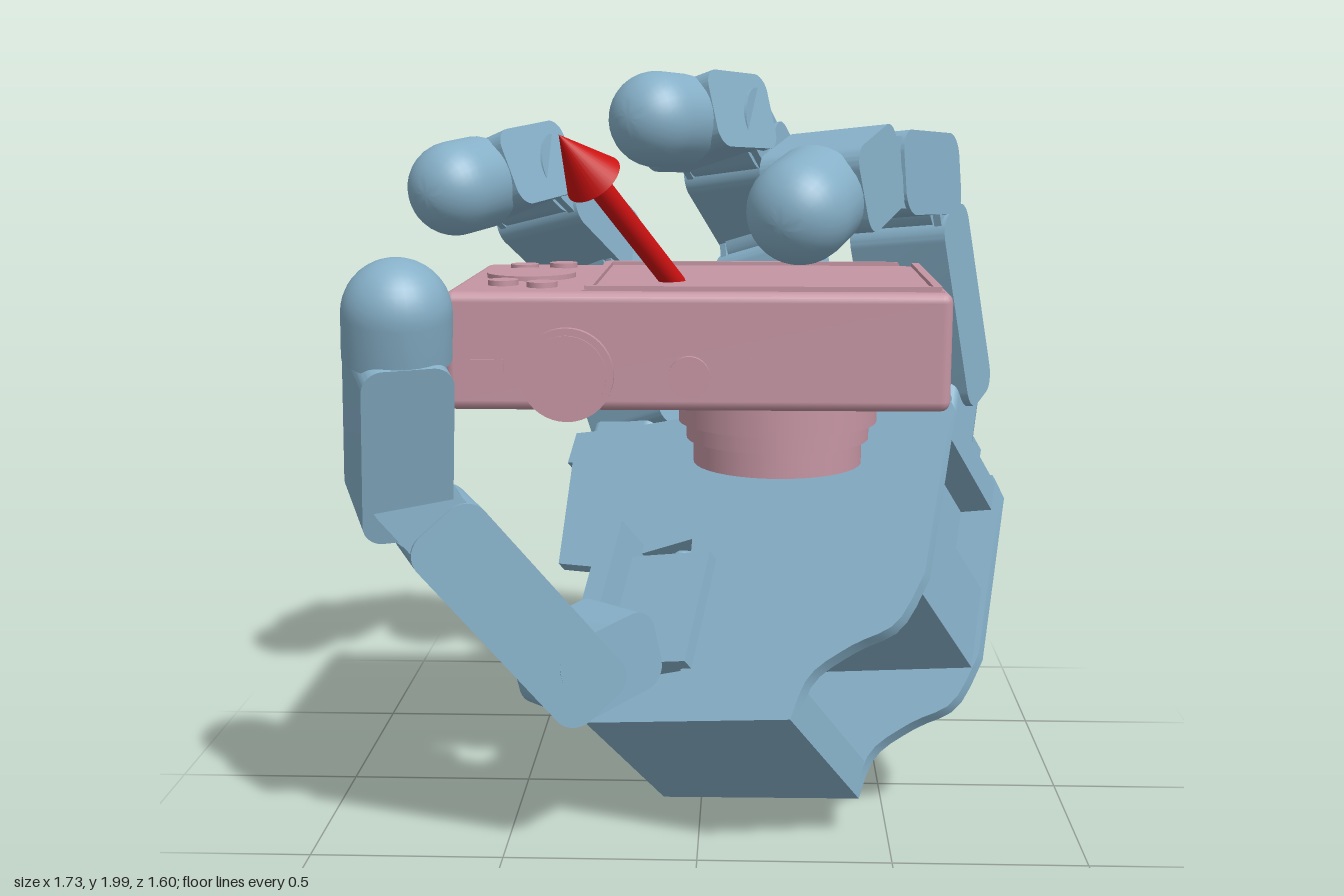
import * as THREE from 'three';
import { RoundedBoxGeometry } from 'three/addons/geometries/RoundedBoxGeometry.js';
import { toCreasedNormals } from 'three/addons/utils/BufferGeometryUtils.js';

const V = (x, y, z) => new THREE.Vector3(x, y, z);
const blue = new THREE.MeshStandardMaterial({ color: 0x86b0c8 });
const pink = new THREE.MeshStandardMaterial({ color: 0xc595a3 });
const red = new THREE.MeshStandardMaterial({ color: 0xcc1111 });

function add(parent, name, geometry, material, x = 0, y = 0, z = 0) {
  const mesh = new THREE.Mesh(geometry, material);
  mesh.name = name;
  mesh.position.set(x, y, z);
  parent.add(mesh);
  return mesh;
}

// box given by its low and high corners
function span(parent, name, lo, hi, material, radius = 0) {
  const s = hi.map((h, i) => h - lo[i]);
  const geo = radius ? new RoundedBoxGeometry(...s, 2, radius) : new THREE.BoxGeometry(...s);
  return add(parent, name, geo, material, ...hi.map((h, i) => (h + lo[i]) / 2));
}

// group with its own x, y axes and origin
function frame(parent, name, origin, xAxis, yAxis) {
  const y = yAxis.clone().normalize();
  const x = xAxis.clone().addScaledVector(y, -xAxis.dot(y)).normalize();
  const g = new THREE.Group();
  g.name = name;
  g.applyMatrix4(new THREE.Matrix4().makeBasis(x, y, x.clone().cross(y)).setPosition(origin));
  parent.add(g);
  return g;
}

// rounded side profile (length along y, thickness along z) extruded along the hinge x
function linkGeometry(width, thick, y0, y1, r) {
  const h = thick / 2, s = new THREE.Shape();
  s.absarc(h - r, y0 + r, r, -Math.PI / 2, 0);
  s.absarc(h - r, y1 - r, r, 0, Math.PI / 2);
  s.absarc(-h + r, y1 - r, r, Math.PI / 2, Math.PI);
  s.absarc(-h + r, y0 + r, r, Math.PI, Math.PI * 1.5);
  const g = new THREE.ExtrudeGeometry(s, { depth: width, bevelEnabled: false, curveSegments: 7 });
  g.translate(0, 0, -width / 2).rotateY(Math.PI / 2);
  return toCreasedNormals(g, 0.5);
}

// one digit segment with a tongue into the next joint
function segment(parent, name, p, q, hinge) {
  const dir = q.clone().sub(p), L = dir.length();
  const g = frame(parent, name, p, hinge, dir);
  add(g, 'linkBody', linkGeometry(0.27, 0.215, -0.09, L - 0.1, 0.06), blue);
  add(g, 'linkTongue', linkGeometry(0.2, 0.19, L - 0.16, L + 0.085, 0.085), blue);
  for (const s of [-1, 1])
    add(g, 'jointCheek', linkGeometry(0.02, 0.18, L - 0.24, L + 0.075, 0.08), blue, s * 0.115);
  return g;
}

// last segment with a domed fingertip
function fingertip(parent, p, q, hinge) {
  const dir = q.clone().sub(p), L = dir.length();
  const g = frame(parent, 'fingertipLink', p, hinge, dir);
  add(g, 'linkBody', linkGeometry(0.26, 0.215, -0.09, L - 0.09, 0.05), blue);
  const pts = [new THREE.Vector2(0, L - 0.11), new THREE.Vector2(0.128, L - 0.11)];
  for (let i = 0; i <= 10; i++) {
    const t = (i / 10) * Math.PI / 2;
    pts.push(new THREE.Vector2(i === 10 ? 0 : 0.128 * Math.cos(t), L + 0.128 * Math.sin(t)));
  }
  add(g, 'fingertip', toCreasedNormals(new THREE.LatheGeometry(pts, 32), 0.6), blue);
}

// a finger hinges at right angles to the plane it curls in
function finger(parent, name, points) {
  const g = new THREE.Group();
  g.name = name;
  parent.add(g);
  const [a, b, c, d] = points;
  const hinge = b.clone().sub(a).cross(d.clone().sub(c));
  segment(g, 'lowerLink', a, b, hinge);
  segment(g, 'middleLink', b, c, hinge);
  fingertip(g, c, d, hinge);
}

// thumb with a short link from the palm bracket and a motor on the long link
function buildThumb(hand) {
  const g = new THREE.Group();
  g.name = 'thumb';
  hand.add(g);
  const root = V(-0.22, 0.53, 0.34), knuckle = V(-0.33, 0.5, 0.44);
  const joint = V(-0.72, 1.01, 0.57), tip = V(-0.685, 1.437, 0.67);
  const hinge = V(0.38, 0, 0.92);
  const dir = knuckle.clone().sub(root);
  const base = frame(g, 'thumbBase', root, hinge, dir);
  add(base, 'thumbBaseLink', linkGeometry(0.22, 0.21, -0.06, dir.length() + 0.09, 0.06), blue);
  const link = segment(g, 'thumbLink', knuckle, joint, hinge);
  span(link, 'thumbLinkMotor', [-0.24, 0.12, -0.09], [-0.1, 0.4, 0.09], blue, 0.02);
  fingertip(g, joint, tip, hinge);
}

function plate(outline, depth) {
  const s = new THREE.Shape(outline.map(([x, y]) => new THREE.Vector2(x, y)));
  return toCreasedNormals(new THREE.ExtrudeGeometry(s, { depth, bevelEnabled: false }), 0.6);
}

// palm frame: x across, y towards the fingers, z out of the inner face
function buildPalm(hand) {
  const palm = frame(hand, 'palm', V(-0.105, 0.005, 0.11), V(0.893, 0.187, 0.408), V(0.179, 0.689, -0.702));
  const curve = new THREE.SplineCurve([[0.59, 0], [0.62, 0.12], [0.72, 0.2], [0.83, 0.26], [0.885, 0.4]]
    .map(([x, y]) => new THREE.Vector2(x, y))).getPoints(14).map(p => [p.x, p.y]);
  const outline = [[0, 0], ...curve, [0.89, 0.92], [0.86, 0.98], [0.3, 0.99], [-0.3, 0.95],
    [-0.23, 0.5], [-0.1, 0.48], [0.19, 0.55], [0.25, 0.144], [-0.015, 0.106]];
  add(palm, 'backPlate', plate(outline, 0.035), blue);
  add(palm, 'innerPlate', plate(outline, 0.035), blue, 0, 0, 0.425);
  add(palm, 'wristBlock', plate([[0, 0], [0.59, 0], [0.605, 0.09], [-0.012, 0.09]], 0.4), blue, 0, 0, 0.03);
  span(palm, 'middleHousing', [0.3, 0.36, 0.03], [0.87, 0.6, 0.43], blue);
  span(palm, 'upperHousing', [-0.22, 0.58, 0.03], [0.78, 0.93, 0.43], blue);
  span(palm, 'sideRib', [0.76, 0.86, 0.03], [0.87, 0.95, 0.43], blue);

  // finger mounts with stepped motor brackets
  for (const a of [-0.21, 0.28, 0.75]) {
    span(palm, 'fingerMount', [a - 0.11, 0.9, 0.19], [a + 0.11, 1.15, 0.38], blue, 0.03);
    span(palm, 'motorBracket', [a - 0.14, 0.9, 0.12], [a + 0.1, 1.01, 0.4], blue);
    span(palm, 'motorStep', [a - 0.09, 0.98, 0.15], [a + 0.06, 1.05, 0.36], blue);
  }

  // thumb motor tilted into the palm notch, and the bracket that carries the thumb
  const motor = frame(palm, 'thumbMotorMount', V(0.25, 0.144, 0), V(0.87, 0, -0.5), V(-0.06, 0.4, 0));
  span(motor, 'thumbMotor', [-0.28, 0, 0], [0.02, 0.41, 0.36], blue, 0.03);
  span(palm, 'thumbBracketPlate', [0.03, 0.15, 0.41], [0.28, 0.48, 0.5], blue);
  span(palm, 'thumbBracketFlange', [-0.02, 0.25, 0.38], [0.04, 0.54, 0.59], blue);
}

function buildCamera(root) {
  const cam = new THREE.Group();
  cam.name = 'camera';
  root.add(cam);
  span(cam, 'cameraBody', [-0.6, 1.19, -0.1], [0.605, 1.475, 0.575], pink, 0.025);
  const disc = (name, r, h, x, y, z, onFront) => {
    const m = add(cam, name, new THREE.CylinderGeometry(r, r, h, 40), pink, x, y, z);
    if (onFront) m.rotation.x = Math.PI / 2;
  };
  // stepped lens below the body
  for (const [r, y0, y1] of [[0.255, 1.11, 1.16], [0.235, 1.065, 1.2], [0.217, 1.0, 1.2]])
    disc('lensRing', r, y1 - y0, 0.2, (y0 + y1) / 2, 0.235);
  disc('lensCollar', 0.255, 0.04, 0.2, 1.18, 0.235);
  // screen surround and panel
  span(cam, 'screenPanel', [-0.27, 1.46, -0.08], [0.585, 1.477, 0.55], pink);
  for (const z of [-0.06, 0.54]) span(cam, 'screenRim', [-0.26, 1.46, z - 0.01], [0.575, 1.487, z + 0.01], pink);
  for (const x of [-0.255, 0.57]) span(cam, 'screenRim', [x - 0.01, 1.46, -0.06], [x + 0.01, 1.487, 0.54], pink);
  // dial and buttons
  disc('dial', 0.113, 0.03, -0.43, 1.472, 0.23);
  for (const [x, z] of [[-0.475, 0.03], [-0.375, -0.01], [-0.475, 0.42], [-0.375, 0.46]])
    disc('button', 0.037, 0.03, x, 1.473, z);
  // controls on the front edge
  disc('shutterRing', 0.112, 0.04, -0.305, 1.28, 0.575, true);
  disc('shutterButton', 0.095, 0.04, -0.305, 1.28, 0.58, true);
  disc('powerButton', 0.05, 0.03, -0.015, 1.275, 0.575, true);
  span(cam, 'slider', [-0.535, 1.285, 0.55], [-0.455, 1.315, 0.582], pink);
  span(cam, 'indicator', [0.118, 1.28, 0.55], [0.132, 1.32, 0.58], pink);
}

function buildArrow(root) {
  const start = V(-0.06, 1.47, 0.335), tip = V(-0.31, 1.84, 0.62);
  const dir = tip.clone().sub(start), L = dir.length();
  const g = frame(root, 'arrow', start, V(1, 0, 0), dir);
  add(g, 'arrowShaft', new THREE.CylinderGeometry(0.028, 0.028, L - 0.13, 24), red, 0, (L - 0.13) / 2, 0);
  add(g, 'arrowEnd', new THREE.SphereGeometry(0.028, 20, 12), red);
  add(g, 'arrowHead', new THREE.ConeGeometry(0.072, 0.15, 32), red, 0, L - 0.075, 0);
}

export function createModel() {
  const root = new THREE.Group();
  root.name = 'robotHandWithCamera';
  const hand = new THREE.Group();
  hand.name = 'hand';
  root.add(hand);
  buildPalm(hand);
  finger(hand, 'leftFinger', [V(0.64, 1.17, -0.2), V(0.535, 1.71, -0.11), V(0.35, 1.73, 0.25), V(0.245, 1.66, 0.49)]);
  finger(hand, 'middleFinger', [V(0.23, 1.07, -0.43), V(0.18, 1.57, -0.63), V(0.03, 1.85, -0.36), V(-0.13, 1.865, -0.11)]);
  finger(hand, 'rightFinger', [V(-0.21, 1.0, -0.585), V(-0.37, 1.48, -0.65), V(-0.54, 1.71, -0.36), V(-0.68, 1.68, -0.1)]);
  buildThumb(hand);
  buildCamera(root);
  buildArrow(root);
  return root;
}
